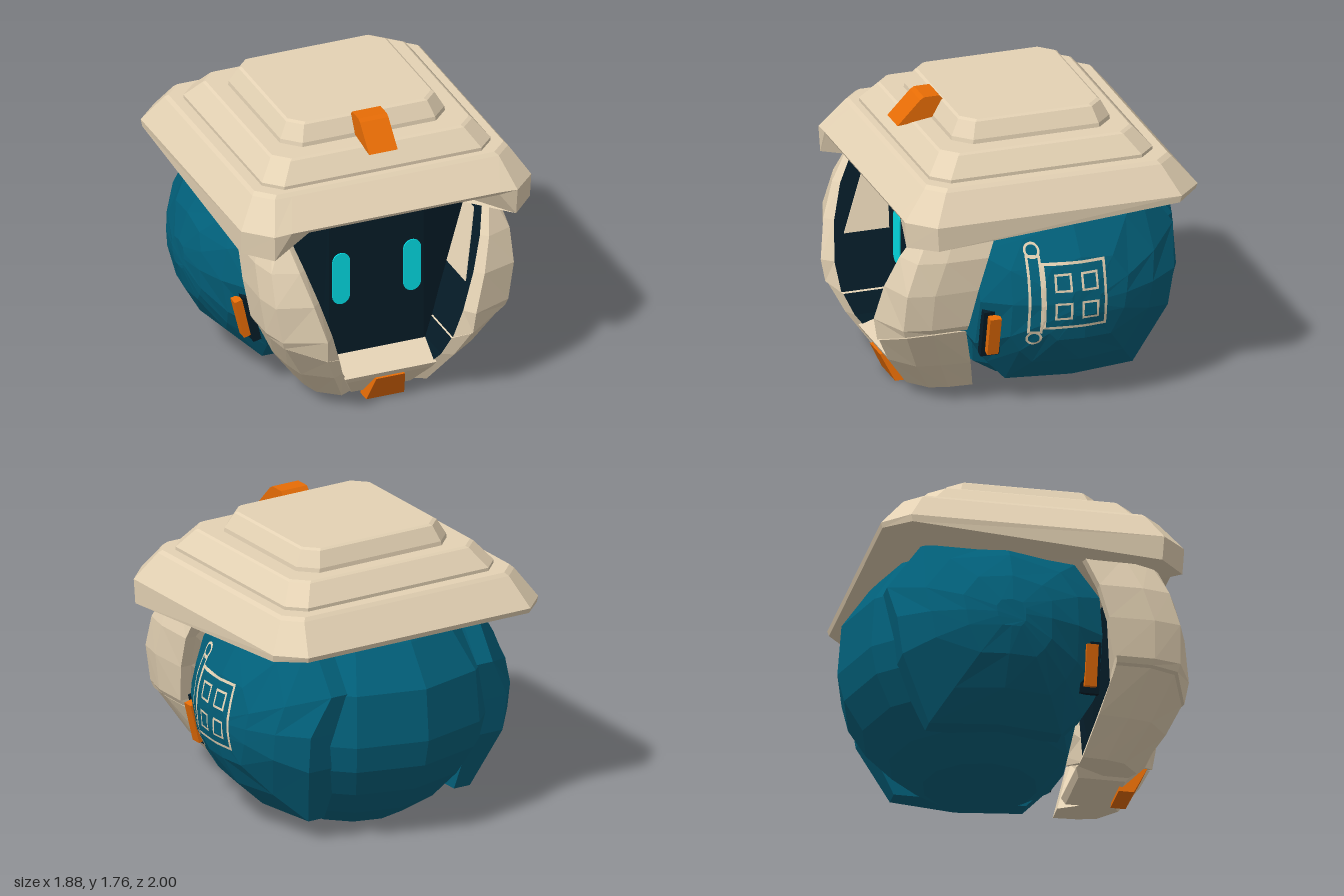
import * as THREE from 'three';

const mat = (name, color) => Object.assign(new THREE.MeshStandardMaterial({ color }), { name });

// Closed flat-faced solid from equal-length loops; darkStrip puts one strip in group 1
function loft(loops, darkStrip = -1) {
  const main = [], dark = [], n = loops[0].length;
  const tri = (list, a, b, c) => list.push([a, b, c]);
  for (let i = 0; i < loops.length - 1; i++)
    for (let k = 0; k < n; k++) {
      const list = k === darkStrip ? dark : main, m = (k + 1) % n;
      tri(list, loops[i][k], loops[i][m], loops[i + 1][m]);
      tri(list, loops[i][k], loops[i + 1][m], loops[i + 1][k]);
    }
  const last = loops[loops.length - 1];
  for (let k = 1; k < n - 1; k++) {
    tri(main, loops[0][0], loops[0][k + 1], loops[0][k]);
    tri(main, last[0], last[k], last[k + 1]);
  }
  const all = [...main, ...dark];
  // Turn the faces outward whichever way the loops run
  const v = (p) => new THREE.Vector3(...p);
  const volume = all.reduce((sum, [a, b, c]) => sum + v(a).dot(v(b).cross(v(c))), 0);
  if (volume < 0) all.forEach((t) => t.reverse());
  const g = new THREE.BufferGeometry();
  g.setAttribute('position', new THREE.Float32BufferAttribute(all.flat(2), 3));
  g.computeVertexNormals();
  if (darkStrip >= 0) {
    g.addGroup(0, main.length * 3, 0);
    g.addGroup(main.length * 3, dark.length * 3, 1);
  }
  return g;
}

// Rectangle with cut corners, plus two extra points on the front edge
function hatRing(hx, zf, zb, c, notch, y, yNotch = y) {
  const half = [[notch, zf], [hx - c, zf], [hx, zf - c], [hx, zb + c], [hx - c, zb]];
  const all = [...half, ...half.map(([x, z]) => [-x, z]).reverse()];
  return all.map(([x, z], i) => {
    const h = i === 0 || i === 9 ? yNotch : y;
    return [x, typeof h === 'function' ? h(z) : h, z];
  });
}

export function createModel() {
  const model = new THREE.Group();
  const cream = mat('cream', 0xe4d2b4), teal = mat('teal', 0x02607a), navy = mat('navy', 0x051c28);
  const orange = mat('orange', 0xee7006), cyan = mat('cyan', 0x02dde4);
  const add = (name, geometry, material, x = 0, y = 0, z = 0) => {
    const mesh = new THREE.Mesh(geometry, material);
    mesh.name = name;
    mesh.position.set(x, y, z);
    model.add(mesh);
    return mesh;
  };

  // Head: faceted ball with its front cut flat
  const profile = [[0, 0], [.34, 0], [.54, .13], [.7, .3], [.81, .48], [.85, .645], [.825, .96], [.66, 1.2], [.58, 1.29], [0, 1.32]];
  let head = new THREE.LatheGeometry(profile.map((p) => new THREE.Vector2(...p)), 12);
  head.translate(0, 0, -.15);
  const hp = head.attributes.position;
  for (let i = 0; i < hp.count; i++) hp.setZ(i, Math.min(hp.getZ(i), .35));
  head = head.toNonIndexed();
  head.computeVertexNormals();
  add('head', head, teal);

  // Hat: brim with a front notch and a tilted lower edge, then two tiers
  add('hatBrim', loft([
    hatRing(.4, .62, -.62, .2, .33, 1.26),
    hatRing(.915, .9, -.89, .15, .66, (z) => 1.19 - .072 * z, 1.27),
    hatRing(.92, .91, -.9, .15, .66, 1.285, 1.29),
    hatRing(.81, .77, -.76, .1, .6, 1.455),
    hatRing(.79, .75, -.74, .1, .6, 1.475),
  ]), cream);
  add('hatMiddleTier', loft([
    hatRing(.725, .71, -.67, .1, .4, 1.45),
    hatRing(.725, .71, -.67, .1, .4, 1.495),
    hatRing(.64, .625, -.575, .09, .4, 1.605),
    hatRing(.625, .61, -.56, .09, .4, 1.615),
  ]), cream);
  add('hatTopTier', loft([
    hatRing(.525, .505, -.48, .1, .3, 1.6),
    hatRing(.52, .5, -.475, .1, .3, 1.64),
    hatRing(.47, .45, -.43, .08, .3, 1.73),
    hatRing(.455, .435, -.415, .08, .3, 1.74),
  ]), cream);
  const tabSide = (x) => [[1.6, .72], [1.745, .58], [1.76, .555], [1.76, .46], [1.735, .44], [1.63, .505], [1.625, .58], [1.605, .66]]
    .map(([y, z]) => [x, y, z]);
  add('hatTab', loft([tabSide(-.09), tabSide(.09)]), orange);

  // Visor: flat middle with sides turned back, and two eyes
  const visorRow = (y, w, z) => [[-w, z], [-.3, .61], [.3, .61], [w, z], [.3, .59], [-.3, .59]].map(([x, d]) => [x, y, d]);
  add('visor', loft([visorRow(.24, .34, .595), visorRow(1.3, .68, .52)]), navy);
  const eye = new THREE.Shape();
  eye.absarc(0, .112, .055, 0, Math.PI);
  eye.absarc(0, -.112, .055, Math.PI, Math.PI * 2);
  const eyeGeometry = new THREE.ExtrudeGeometry(eye, { depth: .008, bevelEnabled: false });
  for (const s of [1, -1]) add(s > 0 ? 'leftEye' : 'rightEye', eyeGeometry, cyan, s * .225, .758, .611);

  // Guard sections at falling heights: inner edge, ridge, outer bend, side, rear edge
  const seam = (offset, points) => points.map(([x, z]) => [x, .25 + .385 * x + offset, z]);
  const level = (y, points) => points.map(([x, z]) => [x, y, z]);
  const cheek = [
    level(1.22, [[.625, .73], [.655, .75], [.7, .71], [.725, .56], [.74, .31]]),
    level(1.0, [[.556, .85], [.6, .885], [.755, .825], [.79, .66], [.79, .4]]),
    level(.8, [[.49, .91], [.54, .96], [.755, .89], [.79, .73], [.785, .46]]),
    level(.57, [[.414, .935], [.47, 1], [.715, .9], [.755, .74], [.755, .51]]),
    seam(.004, [[.36, .91], [.46, .975], [.7, .885], [.735, .73], [.735, .515]]),
  ];
  const jaw = [
    seam(-.004, [[.355, .9], [.455, .96], [.685, .87], [.72, .72], [.72, .515]]),
    level(.26, [[.312, .845], [.38, .88], [.54, .76], [.57, .62], [.585, .44]]),
    level(.05, [[.18, .685], [.27, .73], [.39, .63], [.42, .52], [.43, .375]]),
  ];
  const guard = (rows, s, innerZ, thickness) => loft(rows.map((row) => {
    const [a, , , , d] = row;
    const drop = row[0][1] === d[1] ? 0 : .385 * thickness;
    const rear = [d[0] - thickness, d[1] - drop, d[2]], inner = [a[0], a[1], innerZ];
    return [inner, ...row, rear].map(([x, y, z]) => [s * x, y, z]);
  }), 0);
  const liningPoint = (y, z) => [.226 + .33 * y, y, z];

  // Ear panel outline (z, y), domed outward along x
  const outline = [[.43, .4], [.43, .7], [.43, .98], [.3, 1.22], [-.12, 1.33], [-.6, 1.28], [-.82, .97], [-.785, .73],
    [-.75, .5], [-.57, .12], [-.17, .12], [.22, .12], [.34, .25]];
  const cz = -.15, cy = .7;
  const earRing = (t, s, flatX) => outline.map(([z, y]) => {
    const dz = (z - cz) * t, dy = (y - cy) * t;
    const x = .94 * Math.sqrt(Math.max(0, 1 - dz * dz / .85 - dy * dy / .6));
    return [s * (flatX ?? Math.max(.56, x)), cy + dy, cz + dz];
  });

  let leftEar;
  for (const s of [1, -1]) {
    const side = s > 0 ? 'left' : 'right';
    add(side + 'CheekGuard', guard(cheek, s, .54, .07), [cream, navy]);
    add(side + 'JawGuard', guard(jaw, s, .58, .13), [cream, navy]);
    // Pale pad on the inner wall of the cheek guard
    const pad = [liningPoint(1.1, .55), liningPoint(1.1, .69), liningPoint(.72, .86), liningPoint(.72, .58)];
    add(side + 'CheekPad', loft([0, .006].map((o) => pad.map(([x, y, z]) => [s * (x - o), y, z]))), cream);
    const ear = add(side + 'EarPanel', loft([earRing(1, s, .45), earRing(1, s), earRing(.72, s), earRing(.42, s), earRing(.14, s)]), teal);
    if (s > 0) leftEar = ear;
    // Clip on the front edge of the ear panel
    add(side + 'ClipBase', new THREE.BoxGeometry(.05, .31, .115), navy, s * .705, .495, .36).rotation.z = -s * .22;
    add(side + 'Clip', new THREE.BoxGeometry(.085, .25, .07), orange, s * .734, .495, .358).rotation.z = -s * .24;
  }

  // Chin: block joining the two jaw guards, with a tab
  const chinSide = (s) => [[.26, .6], [.205, .83], [.17, .81], [.03, .68], [.03, .4], [.08, .38], [.16, .46]]
    .map(([y, z]) => [s * (.17 + .58 * y), y, z]);
  add('chin', loft([chinSide(-1), chinSide(1)]), cream);
  const chinTabSide = (s) => [[.17, .83], [.02, .755], [0, .745], [0, .655], [.05, .66], [.17, .77]]
    .map(([y, z]) => [s * (.12 - .17 * y), y, z]);
  add('chinTab', loft([chinTabSide(-1), chinTabSide(1)]), orange);

  // Scroll emblem: line frames laid on the left ear panel
  const ray = new THREE.Raycaster();
  const onEar = (z, y) => {
    ray.set(new THREE.Vector3(2, y, z), new THREE.Vector3(-1, 0, 0));
    return [ray.intersectObject(leftEar)[0].point.x + .006, y, z];
  };
  const corners = [[1, -1], [1, 1], [-1, 1], [-1, -1], [1, -1]];
  const frame = (name, z, y, hz, hy, w, round) => {
    const N = 32, pos = [];
    const at = (i, inset) => {
      let u, v;
      if (round) [u, v] = [Math.cos(i / N * Math.PI * 2), Math.sin(i / N * Math.PI * 2)];
      else {
        const q = Math.min(3, Math.floor(i / 8)), f = i / 8 - q;
        [u, v] = [0, 1].map((k) => corners[q][k] * (1 - f) + corners[q + 1][k] * f);
      }
      return onEar(z - u * (hz - inset), y + v * (hy - inset));
    };
    for (let i = 0; i < N; i++) {
      const a = at(i, w), b = at(i, 0), c = at(i + 1, 0), d = at(i + 1, w);
      pos.push(...a, ...b, ...c, ...a, ...c, ...d);
    }
    const g = new THREE.BufferGeometry();
    g.setAttribute('position', new THREE.Float32BufferAttribute(pos, 3));
    g.computeVertexNormals();
    add(name, g, cream);
  };
  frame('emblemSheet', -.0925, .745, .1925, .205, .017);
  frame('emblemRod', .14, .75, .042, .24, .015);
  for (const y of [1.015, .475]) frame('emblemRodEnd', .14, y, .046, .046, .014, true);
  for (const z of [-.02, -.18]) for (const y of [.83, .655]) frame('emblemSquare', z, y, .052, .055, .014);

  return model;
}
